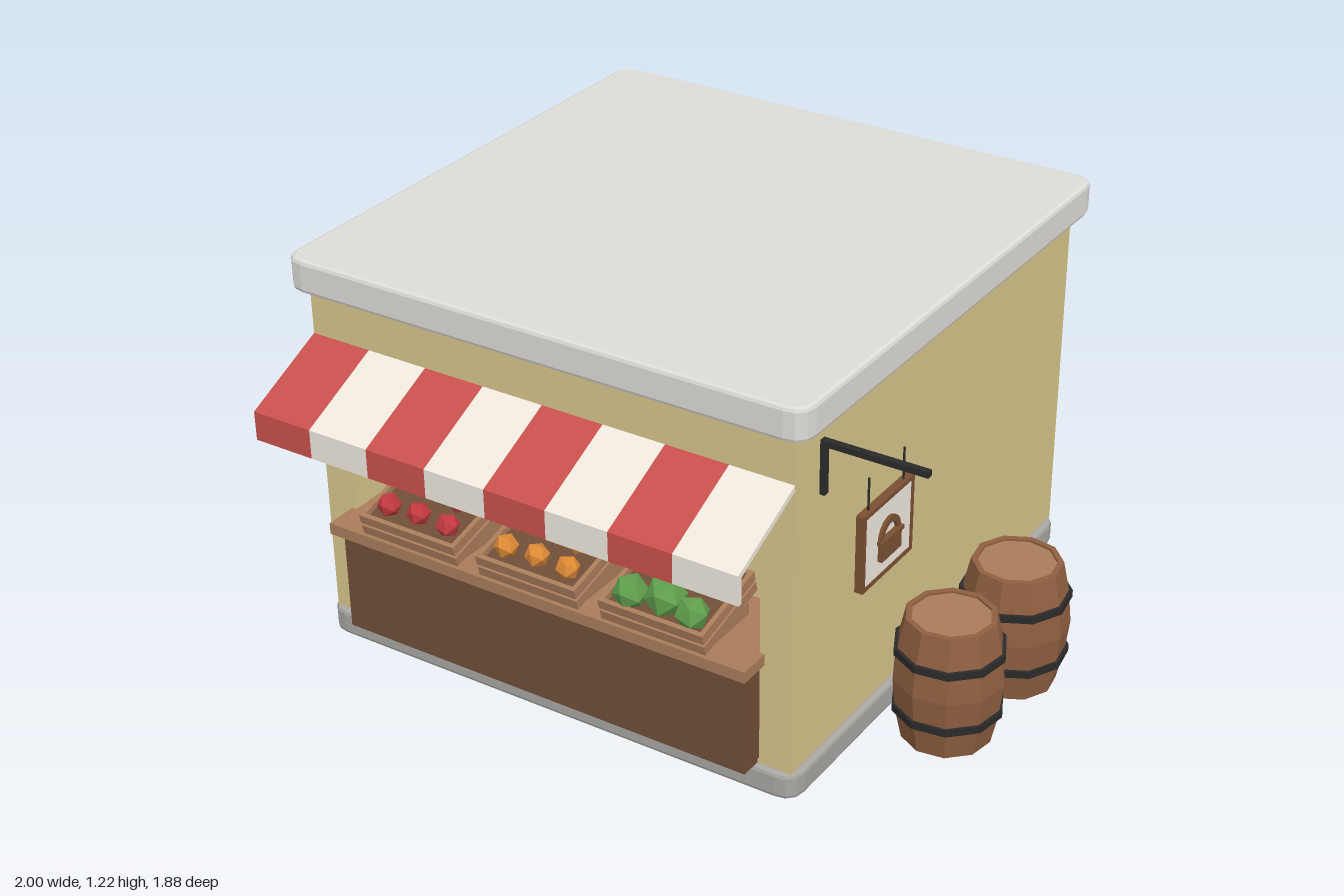
import * as THREE from 'three';

const mat = (color, opts = {}) => new THREE.MeshStandardMaterial({ color, ...opts });
const M = {
  wall: mat(0xd6c48a), roof: mat(0xdddbd6), base: mat(0xa8a6a2),
  red: mat(0xc8504c), cream: mat(0xeee8dd), iron: mat(0x2a2a2a),
  darkWood: mat(0x6f4e37), wood: mat(0xa97c5a), signFrame: mat(0x7a4f32),
  stave: mat(0x8f5f40, { flatShading: true, side: THREE.DoubleSide }),
  apple: mat(0xc23a3f, { flatShading: true }),
  orange: mat(0xdf8a35, { flatShading: true }),
  lettuce: mat(0x5f9e4c, { flatShading: true }),
};

function add(parent, name, geometry, material, x = 0, y = 0, z = 0) {
  const mesh = new THREE.Mesh(geometry, material);
  mesh.name = name;
  mesh.position.set(x, y, z);
  parent.add(mesh);
  return mesh;
}

// Box given by its minimum and maximum corners
function box(parent, name, material, [x0, y0, z0], [x1, y1, z1]) {
  const g = new THREE.BoxGeometry(x1 - x0, y1 - y0, z1 - z0);
  return add(parent, name, g, material, (x0 + x1) / 2, (y0 + y1) / 2, (z0 + z1) / 2);
}

function group(parent, name, x = 0, y = 0, z = 0) {
  const g = new THREE.Group();
  g.name = name;
  g.position.set(x, y, z);
  parent.add(g);
  return g;
}

// Flat slab with rounded corners and a small bevel, lying on y
function slab(parent, name, material, x0, x1, z0, z1, y0, y1) {
  const b = 0.012, r = 0.05;
  const l = x0 + b, t = x1 - b, n = -z1 + b, f = -z0 - b;
  const s = new THREE.Shape();
  s.moveTo(l + r, n).lineTo(t - r, n).quadraticCurveTo(t, n, t, n + r);
  s.lineTo(t, f - r).quadraticCurveTo(t, f, t - r, f);
  s.lineTo(l + r, f).quadraticCurveTo(l, f, l, f - r);
  s.lineTo(l, n + r).quadraticCurveTo(l, n, l + r, n);
  const g = new THREE.ExtrudeGeometry(s, {
    depth: y1 - y0 - 2 * b, bevelThickness: b, bevelSize: b, bevelSegments: 2, curveSegments: 3,
  });
  g.rotateX(-Math.PI / 2);
  add(parent, name, g, material, 0, y0 + b, 0);
}

function buildShop(root) {
  const shop = group(root, 'building');
  slab(shop, 'foundation', M.base, -0.97, 0.625, -0.905, 0.69, 0, 0.08);
  slab(shop, 'roof', M.roof, -1, 0.655, -0.94, 0.715, 1.12, 1.22);

  // Walls with a serving recess cut in the front
  const recess = 0.3;
  const s = new THREE.Shape();
  s.moveTo(-0.95, 0.075).lineTo(0.605, 0.075).lineTo(0.605, 1.125).lineTo(-0.95, 1.125).closePath();
  const hole = new THREE.Path();
  hole.moveTo(-0.85, 0.09).lineTo(-0.85, 0.93).lineTo(0.505, 0.93).lineTo(0.505, 0.09).closePath();
  s.holes.push(hole);
  const front = new THREE.ExtrudeGeometry(s, { depth: 0.67 - recess, bevelEnabled: false });
  add(shop, 'frontWalls', front, M.wall, 0, 0, recess);
  box(shop, 'rearWalls', M.wall, [-0.95, 0.075, -0.89], [0.605, 1.125, recess]);

  box(shop, 'counterBody', M.darkWood, [-0.845, 0.08, 0.48], [0.5, 0.405, 0.735]);
  box(shop, 'counterTop', M.wood, [-0.865, 0.403, 0.45], [0.52, 0.438, 0.77]);
}

function buildAwning(root) {
  const awning = group(root, 'awning');
  const s = new THREE.Shape();
  // Profile in (z, y): sloping cloth and hanging valance
  s.moveTo(0.665, 0.98).lineTo(0.665, 0.962).lineTo(0.922, 0.842).lineTo(0.922, 0.765);
  s.lineTo(0.936, 0.765).lineTo(0.936, 0.853).closePath();
  const w = 1.555 / 8;
  const g = new THREE.ExtrudeGeometry(s, { depth: w, bevelEnabled: false });
  g.rotateY(-Math.PI / 2);
  for (let i = 0; i < 8; i++) {
    add(awning, 'awningStripe', g, i % 2 ? M.cream : M.red, -0.95 + (i + 1) * w, 0, 0);
  }
}

// Tilted slatted crate; goods are [x, y, z, radius] in crate space
function buildCrate(root, x, name, material, goods) {
  box(root, 'crateProp', M.wood, [x - 0.15, 0.435, 0.53], [x + 0.15, 0.474, 0.72]);
  const crate = group(root, name, x, 0.478, 0.64);
  crate.rotation.x = 0.24;
  const hw = 0.165, hd = 0.132, t = 0.014;
  box(crate, 'crateBed', M.darkWood, [-hw + t, 0, -hd + t], [hw - t, 0.05, hd - t]);
  for (const y of [0, 0.039]) {
    for (const side of [-1, 1]) {
      const zc = side * (hd - t / 2), xc = side * (hw - t / 2);
      box(crate, 'crateSlat', M.wood, [-hw, y, zc - t / 2], [hw, y + 0.03, zc + t / 2]);
      box(crate, 'crateSlat', M.wood, [xc - t / 2, y, -hd + t], [xc + t / 2, y + 0.03, hd - t]);
    }
  }
  goods.forEach(([gx, gy, gz, r], i) => {
    const m = add(crate, 'produce', new THREE.IcosahedronGeometry(r, 0), material, gx, gy, gz);
    m.rotation.set(i * 0.9, i * 1.7, i * 0.5);
  });
}

function buildBarrel(root, x, z, turn) {
  const barrel = group(root, 'barrel', x, 0, z);
  barrel.rotation.y = turn;
  const pts = [[0, 0], [0.13, 0], [0.149, 0.09], [0.16, 0.195], [0.149, 0.3], [0.13, 0.39], [0.113, 0.39], [0.113, 0.375]];
  const g = new THREE.LatheGeometry(pts.map(([r, y]) => new THREE.Vector2(r, y)), 10);
  add(barrel, 'staves', g, M.stave);
  add(barrel, 'lid', new THREE.CylinderGeometry(0.115, 0.115, 0.02, 10), M.wood, 0, 0.373, 0);
  const iron = M.iron.clone();
  iron.flatShading = true;
  for (const y of [0.103, 0.287]) {
    add(barrel, 'hoop', new THREE.CylinderGeometry(0.16, 0.16, 0.022, 10), iron, 0, y, 0);
  }
}

function buildSign(root) {
  const sign = group(root, 'hangingSign', 0, 0, 0.538);
  box(sign, 'bracketPost', M.iron, [0.603, 0.89, -0.01], [0.62, 1.05, 0.01]);
  box(sign, 'bracketArm', M.iron, [0.603, 1.033, -0.01], [0.913, 1.05, 0.01]);
  box(sign, 'signBoard', M.cream, [0.783, 0.73, -0.12], [0.801, 0.938, 0.12]);
  for (const s of [-1, 1]) {
    add(sign, 'signHanger', new THREE.CylinderGeometry(0.003, 0.003, 0.1, 6), M.iron, 0.792, 0.988, s * 0.09);
    box(sign, 'signFrameSide', M.signFrame, [0.78, 0.72, s * 0.123 - 0.006], [0.804, 0.945, s * 0.123 + 0.006]);
    const y = 0.8325 + s * 0.1065;
    box(sign, 'signFrameRail', M.signFrame, [0.78, y - 0.006, -0.125], [0.804, y + 0.006, 0.125]);
  }
  // Basket relief passing through the board to show on both faces
  box(sign, 'basketBody', M.signFrame, [0.77, 0.775, -0.05], [0.814, 0.825, 0.05]);
  box(sign, 'basketRim', M.signFrame, [0.766, 0.825, -0.056], [0.818, 0.837, 0.056]);
  const h = new THREE.Shape();
  h.absarc(0, 0, 0.052, 0, Math.PI, false);
  h.absarc(0, 0, 0.034, Math.PI, 0, true);
  const handle = new THREE.ExtrudeGeometry(h, { depth: 0.036, bevelEnabled: false, curveSegments: 10 });
  handle.translate(0, 0, -0.018).rotateY(Math.PI / 2);
  add(sign, 'basketHandle', handle, M.signFrame, 0.792, 0.834, 0);
}

export function createModel() {
  const root = new THREE.Group();
  root.name = 'marketShop';
  buildShop(root);
  buildAwning(root);

  const fruit = [[-0.1, 0.08, 0.07], [0, 0.08, 0.065], [0.105, 0.08, 0.07],
    [-0.055, 0.085, -0.04], [0.03, 0.085, -0.05], [0.08, 0.085, -0.02]].map((p) => [...p, 0.036]);
  const heads = [[-0.09, 0.085, 0.08, 0.052], [0.01, 0.09, 0.06, 0.06], [0.105, 0.085, 0.08, 0.05],
    [-0.05, 0.085, -0.05, 0.055], [0.07, 0.1, -0.05, 0.06]];
  buildCrate(root, -0.575, 'appleCrate', M.apple, fruit);
  buildCrate(root, -0.17, 'orangeCrate', M.orange, fruit);
  buildCrate(root, 0.235, 'lettuceCrate', M.lettuce, heads);

  buildBarrel(root, 0.84, -0.165, 0.15);
  buildBarrel(root, 0.812, 0.175, 0.45);
  buildSign(root);
  return root;
}
